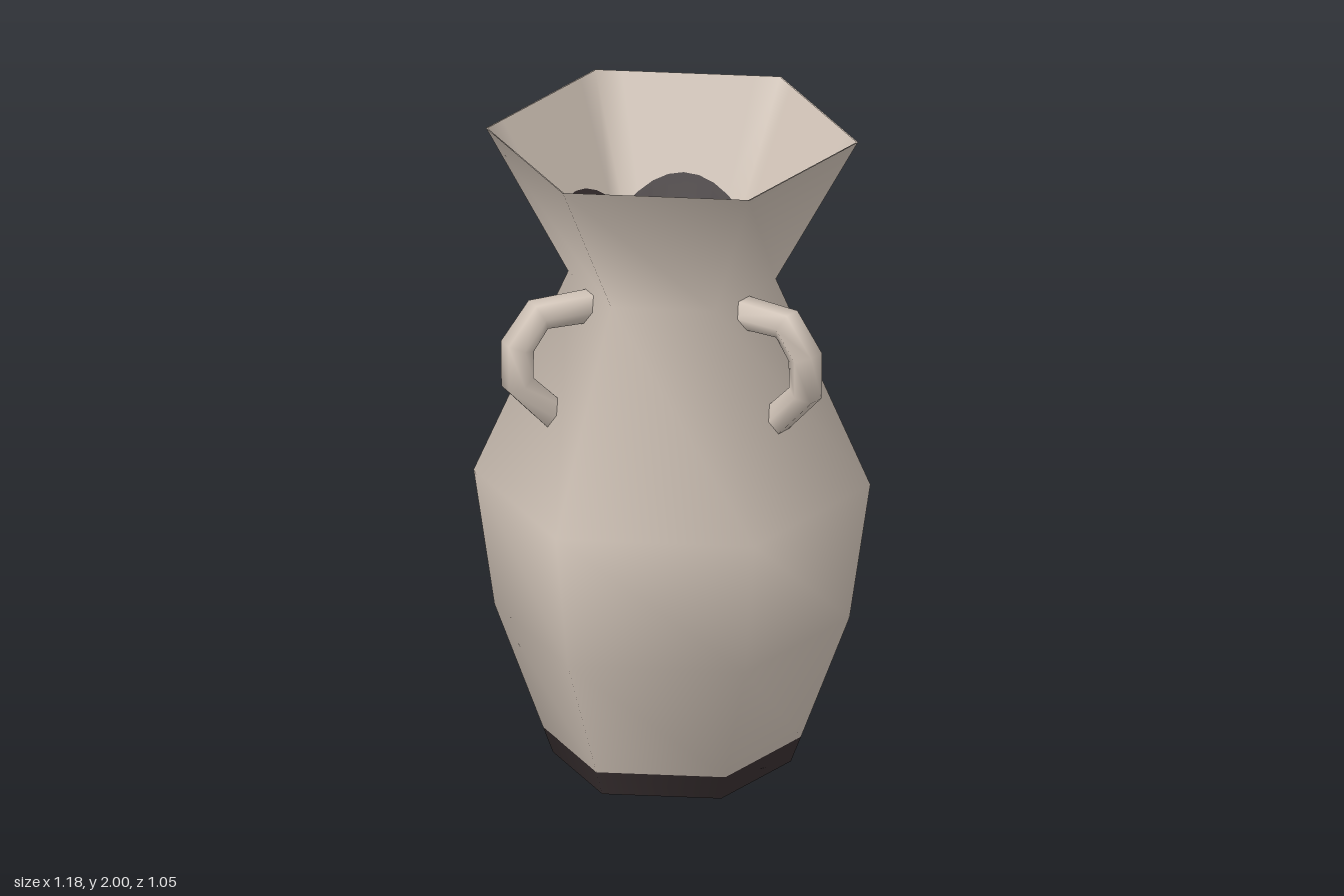
import * as THREE from 'three';

const clay = new THREE.MeshStandardMaterial({ color: 0xd0c3b7, side: THREE.DoubleSide });
clay.name = 'paleClay';
const soot = new THREE.MeshStandardMaterial({ color: 0x382f30, side: THREE.DoubleSide });
soot.name = 'darkGlaze';

// Surface through a list of closed rings of points
function loft(rings) {
  const n = rings[0].length, index = [];
  for (let r = 0; r < rings.length - 1; r++) {
    for (let i = 0; i < n; i++) {
      const a = r * n + i, b = r * n + (i + 1) % n;
      index.push(a, b, a + n, b, b + n, a + n);
    }
  }
  const geometry = new THREE.BufferGeometry().setFromPoints(rings.flat());
  geometry.setIndex(index);
  geometry.computeVertexNormals();
  return geometry;
}

function part(name, geometry, material, parent) {
  const mesh = new THREE.Mesh(geometry, material);
  mesh.name = name;
  parent.add(mesh);
  return mesh;
}

// Six-sided turned wall with corners on the x axis
function hexWall(profile) {
  const points = profile.map(([r, y]) => new THREE.Vector2(r, y));
  return new THREE.LatheGeometry(points, 6, Math.PI / 2);
}

// Ring of 48 points, shaped by a rule from angle to [radius, height]
function ring(rule) {
  return Array.from({ length: 48 }, (_, i) => {
    const t = i / 48 * Math.PI * 2, [r, y] = rule(t);
    return new THREE.Vector3(Math.cos(t) * r, y, Math.sin(t) * r);
  });
}

// Hexagon radius at an angle, for a corner radius of 1
function hex(t) {
  return Math.cos(Math.PI / 6) / Math.cos(t % (Math.PI / 3) - Math.PI / 6);
}

// Bent handle with a six-sided section, reaching out along +z
function handleGeometry() {
  const path = [[0.23, 1.5], [0.428, 1.5], [0.496, 1.41], [0.496, 1.295], [0.365, 1.16]]
    .map(([z, y]) => new THREE.Vector2(z, y));
  const rings = path.map((p, k) => {
    const before = p.clone().sub(path[Math.max(k - 1, 0)]).normalize();
    const after = path[Math.min(k + 1, path.length - 1)].clone().sub(p).normalize();
    const along = before.add(after).normalize();
    return Array.from({ length: 6 }, (_, i) => {
      const t = i * Math.PI / 3, d = Math.sin(t) * 0.05;
      return new THREE.Vector3(Math.cos(t) * 0.055, p.y + along.x * d, p.x - along.y * d);
    });
  });
  return loft(rings);
}

export function createModel() {
  const model = new THREE.Group();
  model.name = 'vase';
  const vase = new THREE.Group();
  vase.name = 'vaseBody';
  vase.position.z = -0.013;
  model.add(vase);

  // Outer wall and dark foot
  const footTop = [0.385, 0.08];
  part('outerWall', hexWall([footTop, [0.53, 0.47], [0.592, 0.9], [0.31, 1.55], [0.555, 2]]), clay, vase);
  part('footBand', hexWall([[0.355, 0], footTop]), soot, vase);

  // Inside of the mouth: pale flare, then a round dark throat
  const neck = 0.306, lip = 0.551, neckY = 1.55;
  const rim = ring(t => [lip * hex(t), 2]);
  const throatEdge = ring(t => {
    const r = 0.352;
    return [r, neckY + (r / hex(t) - neck) / (lip - neck) * (2 - neckY)];
  });
  const neckRing = ring(t => [neck * hex(t), neckY]);
  const centre = ring(() => [0, neckY - 0.02]);
  part('mouthFlare', loft([rim, throatEdge]), clay, vase);
  part('throat', loft([throatEdge, neckRing, centre]), soot, vase);

  // Three handles around the shoulder
  const geometry = handleGeometry();
  const handles = new THREE.Group();
  handles.name = 'handles';
  handles.position.x = -0.012;
  vase.add(handles);
  for (let i = 0; i < 3; i++) {
    part('handle' + (i + 1), geometry, clay, handles).rotation.y = i * Math.PI * 2 / 3;
  }
  return model;
}
